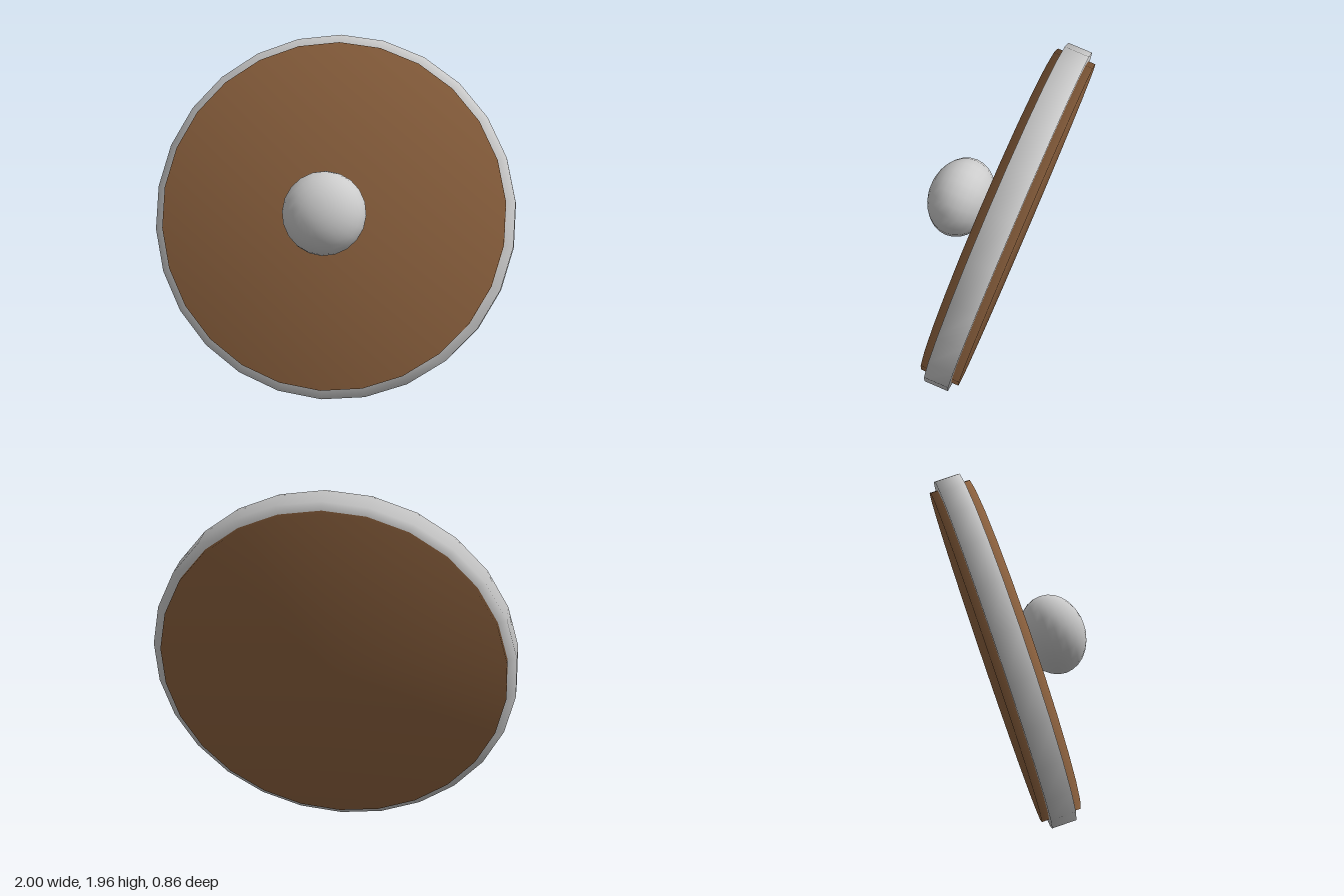
import * as THREE from 'three';

const SIDES = 26;
const TILT = THREE.MathUtils.degToRad(18);

// Turned part around the shield's axis; lathe normals blend softly over the edges
function turned(name, profile, material) {
  const points = profile.map(([r, h]) => new THREE.Vector2(r, h));
  const mesh = new THREE.Mesh(new THREE.LatheGeometry(points, SIDES), material);
  mesh.name = name;
  return mesh;
}

export function createModel() {
  const metal = new THREE.MeshStandardMaterial({ color: 0xcccccc });
  const wood = new THREE.MeshStandardMaterial({ color: 0x906440 });

  // Round shield leaning back, its local y axis pointing out of the front
  const shield = new THREE.Group();
  shield.name = 'shield';
  shield.position.set(0, 0.98, -0.027);
  shield.rotation.x = Math.PI / 2 - TILT;

  // Wooden board
  shield.add(turned('board', [[0, -0.11], [0.957, -0.11], [0.957, 0.11], [0, 0.11]], wood));

  // Metal band around the edge
  shield.add(turned('rim', [[0.9, -0.069], [1.007, -0.069], [1.007, 0.069], [0.9, 0.069]], metal));

  // Flattened round boss resting on the front
  const boss = new THREE.Mesh(new THREE.SphereGeometry(0.227, 20, 14), metal);
  boss.name = 'boss';
  boss.scale.y = 0.8;
  boss.position.y = 0.286;
  shield.add(boss);

  const model = new THREE.Group();
  model.name = 'roundShield';
  model.add(shield);
  return model;
}
